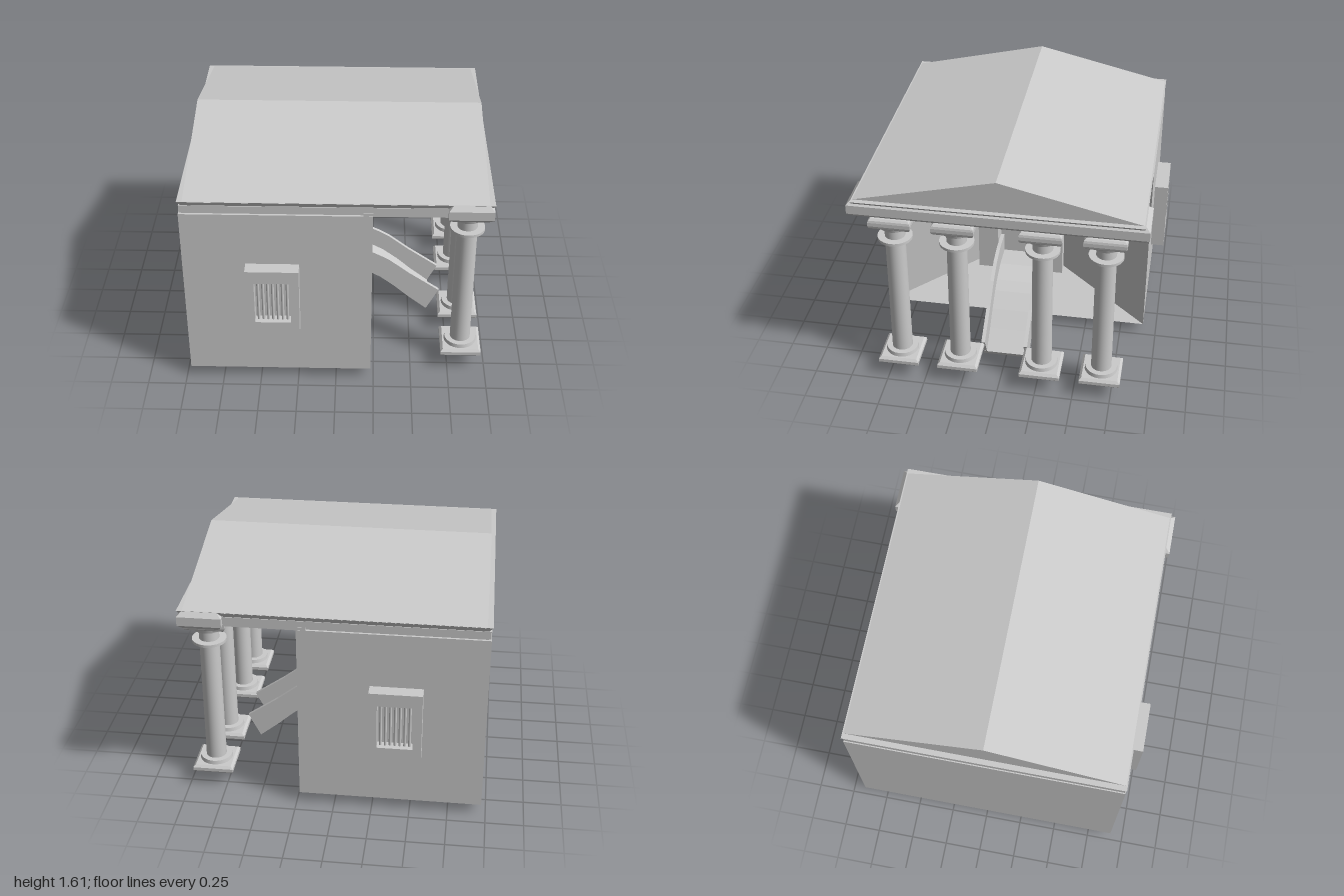
import * as THREE from 'three';

const mat = new THREE.MeshStandardMaterial({ color: 0xcccccc, flatShading: true });
const smooth = new THREE.MeshStandardMaterial({ color: 0xcccccc });

function add(parent, name, geometry, x = 0, y = 0, z = 0, material = mat) {
  const mesh = new THREE.Mesh(geometry, material);
  mesh.name = name;
  mesh.position.set(x, y, z);
  parent.add(mesh);
  return mesh;
}

// Box given by its limits
function block(parent, name, x0, x1, y0, y1, z0, z1) {
  return add(parent, name, new THREE.BoxGeometry(x1 - x0, y1 - y0, z1 - z0),
    (x0 + x1) / 2, (y0 + y1) / 2, (z0 + z1) / 2);
}

const polygon = (pts) => new THREE.Shape(pts.map(([x, y]) => new THREE.Vector2(x, y)));
const rect = (x0, x1, y0, y1) => [[x0, y0], [x1, y0], [x1, y1], [x0, y1]];
const extrude = (shape, depth) => new THREE.ExtrudeGeometry(shape, { depth, bevelEnabled: false });

function frameGeometry(outer, inner, depth) {
  const shape = polygon(outer);
  shape.holes.push(polygon(inner));
  return extrude(shape, depth);
}

// Block with bevelled edges, centred on its origin
function bevelBlock(w, h, d, c, segments = 1) {
  const a = w / 2 - c, b = d / 2 - c;
  const g = new THREE.ExtrudeGeometry(polygon(rect(-a, a, -b, b)), {
    depth: h - 2 * c, bevelSize: c, bevelThickness: c, bevelSegments: segments,
  });
  return g.rotateX(-Math.PI / 2).translate(0, -h / 2 + c, 0);
}

// Skin over rectangular rings [x, halfWidth, yLow, yHigh], capped at both ends
function ringLoft(rings) {
  const pos = [], index = [];
  rings.forEach(([x, w, lo, hi]) => pos.push(x, lo, w, x, lo, -w, x, hi, -w, x, hi, w));
  for (let r = 0; r < rings.length - 1; r++) {
    for (let i = 0; i < 4; i++) {
      const a = r * 4 + i, b = r * 4 + (i + 1) % 4;
      index.push(a, b, b + 4, a, b + 4, a + 4);
    }
  }
  const e = (rings.length - 1) * 4;
  index.push(0, 2, 1, 0, 3, 2, e, e + 1, e + 2, e, e + 2, e + 3);
  const g = new THREE.BufferGeometry();
  g.setAttribute('position', new THREE.Float32BufferAttribute(pos, 3));
  g.setIndex(index);
  const flat = g.toNonIndexed();
  flat.computeVertexNormals();
  return flat;
}

function createColumn(z) {
  const column = new THREE.Group();
  column.name = 'column';
  add(column, 'plinth', bevelBlock(0.27, 0.055, 0.27, 0.016), 0, 0.138, 0);
  add(column, 'capital', bevelBlock(0.27, 0.085, 0.27, 0.03, 3), 0, 1.242, 0);
  // name, bottom radius, top radius, bottom y, top y
  const rounds = [
    ['baseDisc', 0.11, 0.105, 0.16, 0.192],
    ['shaft', 0.068, 0.065, 0.18, 1.2],
    ['neckRing', 0.112, 0.112, 1.073, 1.092],
    ['collar', 0.098, 0.11, 1.17, 1.21],
  ];
  for (const [name, r0, r1, y0, y1] of rounds) {
    add(column, name, new THREE.CylinderGeometry(r1, r0, y1 - y0, 28), 0, (y0 + y1) / 2, 0, smooth);
  }
  column.position.set(0.835, 0, z);
  return column;
}

function createWindow(side) {
  const win = new THREE.Group();
  win.name = 'window';
  add(win, 'windowFrame', frameGeometry(rect(-0.17, 0.17, 0.45, 0.94), rect(-0.115, 0.115, 0.54, 0.85), 0.09));
  block(win, 'windowBack', -0.14, 0.14, 0.5, 0.9, 0, 0.02);
  for (let i = 0; i < 7; i++) {
    add(win, 'windowBar', new THREE.CylinderGeometry(0.009, 0.009, 0.31, 10), -0.093 + i * 0.031, 0.695, 0.05, smooth);
  }
  win.position.set(-0.4, 0, side * 0.91);
  if (side < 0) win.rotation.y = Math.PI;
  return win;
}

function createRamp() {
  const ramp = new THREE.Group();
  ramp.name = 'ramp';
  const under = [[-0.07, 0.36], [0.1, 0.36], [0.23, 0.32], [0.3, 0.28], [0.4, 0.2], [0.5, 0.11], [0.63, 0.005]];
  const railTop = [[0.715, 0.17], [0.5, 0.32], [0.36, 0.43], [0.29, 0.47], [0.23, 0.5], [0.1, 0.53], [-0.07, 0.53]];
  const floorTop = [[0.65, 0.04], [0.52, 0.145], [0.42, 0.235], [0.315, 0.315], [0.24, 0.355], [0.1, 0.395], [-0.07, 0.395]];
  add(ramp, 'rampFloor', extrude(polygon([...under, ...floorTop]), 0.3), 0, 0, -0.15);
  for (const z of [-0.158, 0.133]) {
    add(ramp, 'rampRail', extrude(polygon([...under, ...railTop]), 0.025), 0, 0, z);
  }
  return ramp;
}

export function createModel() {
  const model = new THREE.Group();
  model.name = 'porticoHouse';

  // Body with a flared recess at the entrance end
  add(model, 'body', ringLoft([
    [-0.97, 0.91, 0.08, 1.31], [0.23, 0.91, 0.08, 1.31],
    [-0.06, 0.3, 0.31, 1.07], [-0.09, 0.3, 0.31, 1.07],
  ]));

  // Doorway
  const door = frameGeometry(rect(-0.3, 0.3, 0.31, 1.07), rect(-0.16, 0.16, 0.36, 0.96), 0.12);
  add(model, 'doorFrame', door.rotateY(Math.PI / 2), -0.09, 0, 0);
  model.add(createRamp());

  for (const side of [-1, 1]) model.add(createWindow(side));
  for (const z of [-0.675, -0.275, 0.275, 0.675]) model.add(createColumn(z));

  // Entablature: recessed joint, band, splayed lip and the heavy beam on the columns
  block(model, 'joint', -0.95, 0.9, 1.3, 1.33, -0.895, 0.895);
  block(model, 'wallTop', 0.17, 0.23, 1.3, 1.33, -0.908, 0.908);
  block(model, 'band', -0.965, 0.94, 1.32, 1.37, -0.905, 0.905);
  add(model, 'lip', ringLoft([[-0.03, 0.95, -0.9, 0.9], [0, 0.975, -0.912, 0.912]])
    .rotateZ(Math.PI / 2).rotateY(Math.PI / 2).rotateY(Math.PI / 2).rotateY(0)
    .rotateY(Math.PI / 2).rotateX(0), 0, 1.4, 0).visible = true;
  add(model, 'columnBeam', bevelBlock(0.28, 0.12, 1.88, 0.03), 0.83, 1.34, 0);

  // Gabled roof
  const gable = extrude(polygon([[-0.912, 1.398], [0.912, 1.398], [0, 1.612]]), 1.88);
  add(model, 'roof', gable.rotateY(Math.PI / 2), -0.94, 0, 0);

  return model;
}
